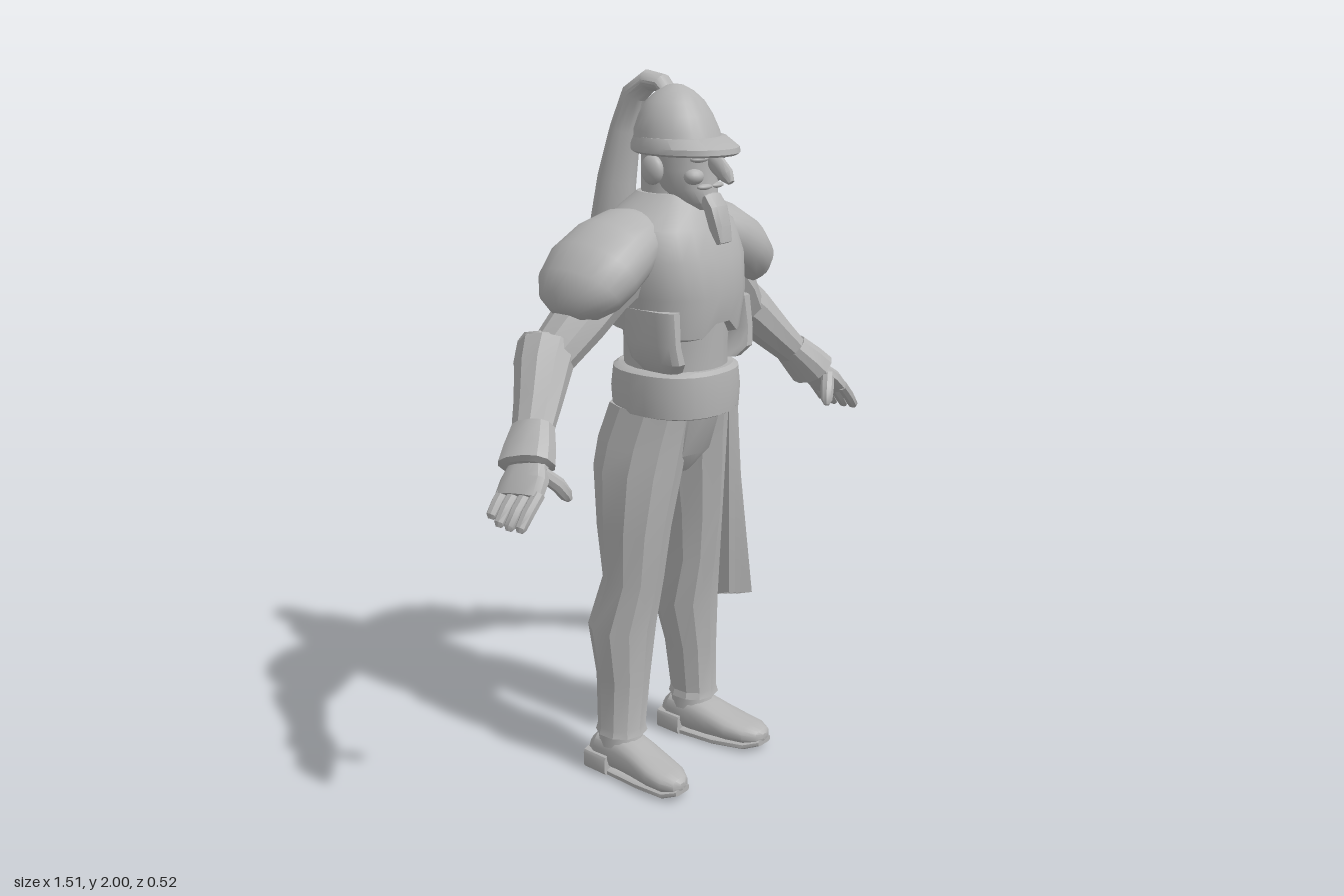
import * as THREE from 'three';
import { toCreasedNormals } from 'three/addons/utils/BufferGeometryUtils.js';

const X = new THREE.Vector3(1, 0, 0), Y = new THREE.Vector3(0, 1, 0), Z = new THREE.Vector3(0, 0, 1);
const grey = new THREE.MeshStandardMaterial({ color: 0xb4b4b4, side: THREE.DoubleSide });
grey.name = 'grey';

// Skin through superellipse rings [x, y, z, radius, radius along ref]
function loft(name, rings, { ref = Z, axis = null, sides = 16, power = 2, crease = 0.6, side = 1, warp = null } = {}) {
  const centres = rings.map(r => new THREE.Vector3(r[0] * side, r[1], r[2]));
  const last = rings.length - 1;
  const loops = rings.map((r, i) => {
    const run = centres[Math.min(i + 1, last)].clone().sub(centres[Math.max(i - 1, 0)]);
    const t = axis ? axis.clone().multiplyScalar(Math.sign(run.dot(axis)) || 1) : run.normalize();
    const v = ref.clone().addScaledVector(t, -ref.dot(t)).normalize();
    const u = t.clone().cross(v);
    const bend = n => Math.sign(n) * Math.pow(Math.abs(n), 2 / power);
    return Array.from({ length: sides }, (_, j) => {
      const a = (j + 0.5) / sides * Math.PI * 2;
      const p = centres[i].clone().addScaledVector(u, r[3] * bend(Math.cos(a))).addScaledVector(v, r[4] * bend(Math.sin(a)));
      if (warp) warp(p, i);
      return p;
    });
  });
  const middle = loop => loop.reduce((s, p) => s.add(p), new THREE.Vector3()).divideScalar(sides);
  const first = middle(loops[0]), end = middle(loops[last]);
  const pts = [];
  for (let j = 0; j < sides; j++) {
    const k = (j + 1) % sides;
    for (let i = 0; i < last; i++) {
      const [a, b, c, d] = [loops[i][j], loops[i + 1][j], loops[i + 1][k], loops[i][k]];
      pts.push(a, b, d, b, c, d);
    }
    pts.push(first, loops[0][j], loops[0][k], end, loops[last][k], loops[last][j]);
  }
  return solid(name, pts, crease);
}

function solid(name, pts, crease) {
  const g = new THREE.BufferGeometry().setFromPoints(pts);
  const mesh = new THREE.Mesh(toCreasedNormals(g, crease), grey);
  mesh.name = name;
  return mesh;
}

function ball(name, x, y, z, rx, ry, rz) {
  const mesh = new THREE.Mesh(new THREE.SphereGeometry(1, 16, 10), grey);
  mesh.position.set(x, y, z);
  mesh.scale.set(rx, ry, rz);
  mesh.name = name;
  return mesh;
}

// Pleated cloth hanging over the left thigh
function cloth() {
  const cols = 20, rows = 8, mix = THREE.MathUtils.lerp;
  const point = (i, j) => {
    const u = i / cols, v = j / rows;
    const pleat = (Math.abs((u * 4) % 1 - 0.5) - 0.25) * 0.1 * (0.25 + 0.75 * v);
    return new THREE.Vector3(
      mix(mix(0.02, 0.165, u), mix(0.0, 0.24, u), v) + pleat * 0.3,
      mix(1.1, mix(0.56, 0.46, u) + pleat * 0.3, v),
      mix(mix(0.235, 0.14, u * u), mix(0.235, 0.14, u), v) + pleat);
  };
  const pts = [];
  for (let i = 0; i < cols; i++) for (let j = 0; j < rows; j++) {
    const a = point(i, j), b = point(i, j + 1), c = point(i + 1, j + 1), d = point(i + 1, j);
    pts.push(a, b, d, b, c, d);
  }
  return solid('hipCloth', pts, 0.4);
}

function head() {
  const g = new THREE.Group();
  g.name = 'head';
  g.add(
    loft('neck', [[0, 1.56, 0.04, 0.1, 0.1], [0, 1.66, 0.045, 0.075, 0.078], [0, 1.79, 0.05, 0.08, 0.08]], { axis: Y }),
    loft('face', [[0, 1.645, 0.15, 0.03, 0.04], [0, 1.665, 0.135, 0.052, 0.066], [0, 1.7, 0.11, 0.075, 0.085],
      [0, 1.75, 0.09, 0.09, 0.098], [0, 1.82, 0.08, 0.098, 0.11]], { axis: Y, sides: 20 }),
    loft('nose', [[0, 1.79, 0.175, 0.02, 0.014], [0, 1.765, 0.21, 0.026, 0.017], [0, 1.74, 0.24, 0.022, 0.018],
      [0, 1.722, 0.255, 0.009, 0.01]], { ref: X, sides: 10 }),
    loft('beard', [[0, 1.68, 0.185, 0.018, 0.035], [0, 1.65, 0.205, 0.022, 0.036], [0, 1.6, 0.22, 0.022, 0.032],
      [0, 1.56, 0.235, 0.012, 0.026]], { ref: X, sides: 8, power: 3.5 }),
    // Helmet bowl with a rim drooping forward
    loft('helmetBowl', [[0, 1.8, 0.078, 0.116, 0.128], [0, 1.85, 0.07, 0.112, 0.118], [0, 1.89, 0.067, 0.099, 0.1],
      [0, 1.925, 0.065, 0.078, 0.078], [0, 1.95, 0.065, 0.05, 0.05], [0, 1.965, 0.065, 0.022, 0.022],
      [0, 1.968, 0.065, 0.004, 0.004]], { axis: Y, sides: 28 }),
    loft('helmetRim', [[0, 1.79, 0.1, 0.118, 0.15], [0, 1.796, 0.1, 0.127, 0.158], [0, 1.81, 0.098, 0.127, 0.157],
      [0, 1.835, 0.082, 0.115, 0.13]], { axis: Y, sides: 28 }),
    // Plume falling from the helmet crown
    loft('plume', [[0, 1.945, 0.045, 0.018, 0.03], [0, 1.968, 0.02, 0.024, 0.034], [0, 1.972, -0.025, 0.03, 0.038],
      [0, 1.935, -0.075, 0.036, 0.044], [0, 1.84, -0.11, 0.042, 0.052], [0, 1.7, -0.142, 0.056, 0.062],
      [0, 1.5, -0.174, 0.07, 0.066], [0, 1.3, -0.19, 0.07, 0.054]],
    { ref: X, power: 1.7, warp: (p, i) => { if (i === 7) p.y += (p.z + 0.19) * 0.6; } }));
  for (const s of [1, -1]) g.add(
    ball('ear', s * 0.108, 1.752, 0.075, 0.022, 0.04, 0.035),
    ball('cheek', s * 0.045, 1.735, 0.165, 0.03, 0.022, 0.026),
    ball('brow', s * 0.038, 1.782, 0.178, 0.034, 0.01, 0.018),
    ball('moustache', s * 0.025, 1.708, 0.186, 0.028, 0.008, 0.014));
  g.add(ball('lip', 0, 1.685, 0.186, 0.026, 0.008, 0.016), ball('chin', 0, 1.662, 0.182, 0.026, 0.018, 0.022));
  return g;
}

function torso() {
  const g = new THREE.Group();
  g.name = 'torso';
  // The breastplate has an arched notch at the front of its lower edge
  const notch = (p, i) => {
    if (i < 2 && p.z > 0.1) p.y += 0.06 * Math.max(0, 1 - Math.abs(p.x) / 0.07) - 0.015;
  };
  g.add(
    loft('abdomen', [[0, 1.18, 0.07, 0.145, 0.145], [0, 1.28, 0.07, 0.145, 0.145], [0, 1.42, 0.07, 0.17, 0.15]], { axis: Y, sides: 20 }),
    loft('breastplate', [[0, 1.315, 0.065, 0.15, 0.145], [0, 1.325, 0.066, 0.172, 0.168], [0, 1.42, 0.067, 0.187, 0.182],
      [0, 1.52, 0.053, 0.205, 0.18], [0, 1.6, 0.042, 0.19, 0.16], [0, 1.65, 0.045, 0.125, 0.125],
      [0, 1.685, 0.05, 0.085, 0.09]], { axis: Y, sides: 24, power: 2.3, warp: notch }),
    loft('belt', [[0, 1.085, 0.07, 0.155, 0.16], [0, 1.09, 0.07, 0.167, 0.17], [0, 1.15, 0.07, 0.172, 0.173],
      [0, 1.205, 0.07, 0.166, 0.168], [0, 1.215, 0.07, 0.15, 0.155]], { axis: Y, sides: 28, power: 2.3 }),
    loft('hips', [[0, 0.9, 0.03, 0.06, 0.08], [0, 0.96, 0.035, 0.14, 0.12], [0, 1.1, 0.055, 0.16, 0.14]], { axis: Y, sides: 14 }));
  for (const s of [1, -1]) g.add(
    loft('waistGuard', [[0.13, 1.22, 0.13, 0.03, 0.06], [0.15, 1.25, 0.13, 0.03, 0.085], [0.16, 1.3, 0.12, 0.026, 0.09],
      [0.155, 1.39, 0.11, 0.03, 0.09]], { axis: Y, sides: 12, power: 3, side: s }));
  return g;
}

function arm(s) {
  const g = new THREE.Group();
  g.name = s > 0 ? 'leftArm' : 'rightArm';
  const o = { side: s };
  g.add(
    loft('shoulderGuard', [[0.05, 1.59, 0.02, 0.05, 0.08], [0.14, 1.57, 0.02, 0.084, 0.12], [0.21, 1.54, 0.018, 0.098, 0.138],
      [0.28, 1.5, 0.016, 0.1, 0.146], [0.335, 1.455, 0.015, 0.088, 0.135], [0.37, 1.42, 0.014, 0.064, 0.1],
      [0.387, 1.4, 0.014, 0.03, 0.05]], { ...o, sides: 24, crease: 0.9 }),
    loft('upperArm', [[0.17, 1.48, 0.03, 0.07, 0.08], [0.25, 1.435, 0.02, 0.065, 0.085], [0.33, 1.37, 0.005, 0.066, 0.085],
      [0.42, 1.285, -0.015, 0.058, 0.07]], { ...o, sides: 10, crease: 0.5 }),
    // Forearm guard, flared at the elbow
    loft('forearmGuard', [[0.405, 1.31, -0.03, 0.055, 0.065], [0.415, 1.305, -0.028, 0.075, 0.082], [0.455, 1.265, -0.005, 0.07, 0.078],
      [0.52, 1.19, 0.035, 0.055, 0.066], [0.585, 1.12, 0.072, 0.042, 0.056]], { ...o, sides: 10, crease: 0.4 }),
    loft('elbowFlare', [[0.47, 1.22, -0.02, 0.035, 0.05], [0.46, 1.28, -0.035, 0.04, 0.062], [0.448, 1.335, -0.045, 0.022, 0.052],
      [0.445, 1.357, -0.05, 0.01, 0.028]], { ...o, sides: 8, crease: 0.3 }),
    loft('wristCuff', [[0.565, 1.145, 0.062, 0.044, 0.058], [0.605, 1.1, 0.085, 0.052, 0.072], [0.632, 1.068, 0.1, 0.056, 0.078],
      [0.636, 1.063, 0.102, 0.04, 0.06]], { ...o, sides: 12, power: 2.4, crease: 0.4 }),
    loft('palm', [[0.62, 1.08, 0.1, 0.026, 0.05], [0.66, 1.04, 0.12, 0.028, 0.07], [0.69, 1.005, 0.127, 0.022, 0.072]],
      { ...o, sides: 12, power: 2.6 }),
    loft('thumb', [[0.635, 1.06, 0.155, 0.018, 0.02], [0.6, 1.025, 0.178, 0.02, 0.02], [0.582, 0.995, 0.19, 0.017, 0.017],
      [0.576, 0.982, 0.194, 0.008, 0.008]], { ...o, sides: 8 }));
  [0.97, 1, 0.98, 0.85].forEach((reach, i) => {
    const z = 0.182 - i * 0.036;
    g.add(loft('finger', [[0.675, 1.02, z, 0.017, 0.018], [0.675 + 0.04 * reach, 1.02 - 0.04 * reach, z, 0.017, 0.018],
      [0.675 + 0.068 * reach, 1.02 - 0.074 * reach, z, 0.014, 0.016], [0.675 + 0.073 * reach, 1.02 - 0.084 * reach, z, 0.007, 0.008]],
    { ...o, sides: 8 }));
  });
  return g;
}

function leg(s) {
  const g = new THREE.Group();
  g.name = s > 0 ? 'leftLeg' : 'rightLeg';
  g.add(
    loft('trouserLeg', [[0.168, 0.125, 0.005, 0.06, 0.06], [0.168, 0.13, 0.008, 0.073, 0.073], [0.168, 0.15, 0.008, 0.067, 0.068],
      [0.156, 0.3, 0.005, 0.073, 0.077], [0.145, 0.45, -0.008, 0.097, 0.094], [0.134, 0.6, 0.026, 0.083, 0.086],
      [0.13, 0.75, 0.025, 0.094, 0.107], [0.108, 0.92, 0.022, 0.104, 0.133], [0.096, 1.0, 0.028, 0.096, 0.136],
      [0.085, 1.1, 0.05, 0.082, 0.13]], { axis: Y, sides: 10, power: 2.2, crease: 0.35, side: s }),
    // Boot: sole, heel, upper and ankle
    loft('sole', [[0.168, 0.012, -0.08, 0.06, 0.012], [0.168, 0.012, 0.0, 0.064, 0.012], [0.178, 0.012, 0.12, 0.064, 0.012],
      [0.192, 0.018, 0.22, 0.056, 0.012], [0.196, 0.028, 0.258, 0.03, 0.01]], { ref: Y, axis: Z, power: 4, side: s }),
    loft('heel', [[0.168, 0.034, -0.08, 0.07, 0.034], [0.168, 0.034, 0.005, 0.075, 0.034]], { ref: Y, axis: Z, power: 5, side: s }),
    loft('bootUpper', [[0.168, 0.055, -0.075, 0.05, 0.045], [0.168, 0.066, -0.05, 0.062, 0.056], [0.168, 0.068, 0.03, 0.064, 0.058],
      [0.174, 0.06, 0.09, 0.063, 0.05], [0.184, 0.05, 0.16, 0.064, 0.036], [0.192, 0.046, 0.215, 0.056, 0.03],
      [0.196, 0.043, 0.25, 0.034, 0.022], [0.197, 0.043, 0.26, 0.014, 0.01]], { ref: Y, axis: Z, power: 2.5, side: s }),
    loft('ankle', [[0.168, 0.06, 0.005, 0.062, 0.075], [0.168, 0.11, 0.003, 0.06, 0.068], [0.168, 0.15, 0.005, 0.058, 0.06]],
      { axis: Y, side: s }));
  return g;
}

export function createModel() {
  const model = new THREE.Group();
  model.name = 'armouredWarrior';
  model.add(head(), torso(), cloth());
  for (const s of [1, -1]) model.add(arm(s), leg(s));
  return model;
}
